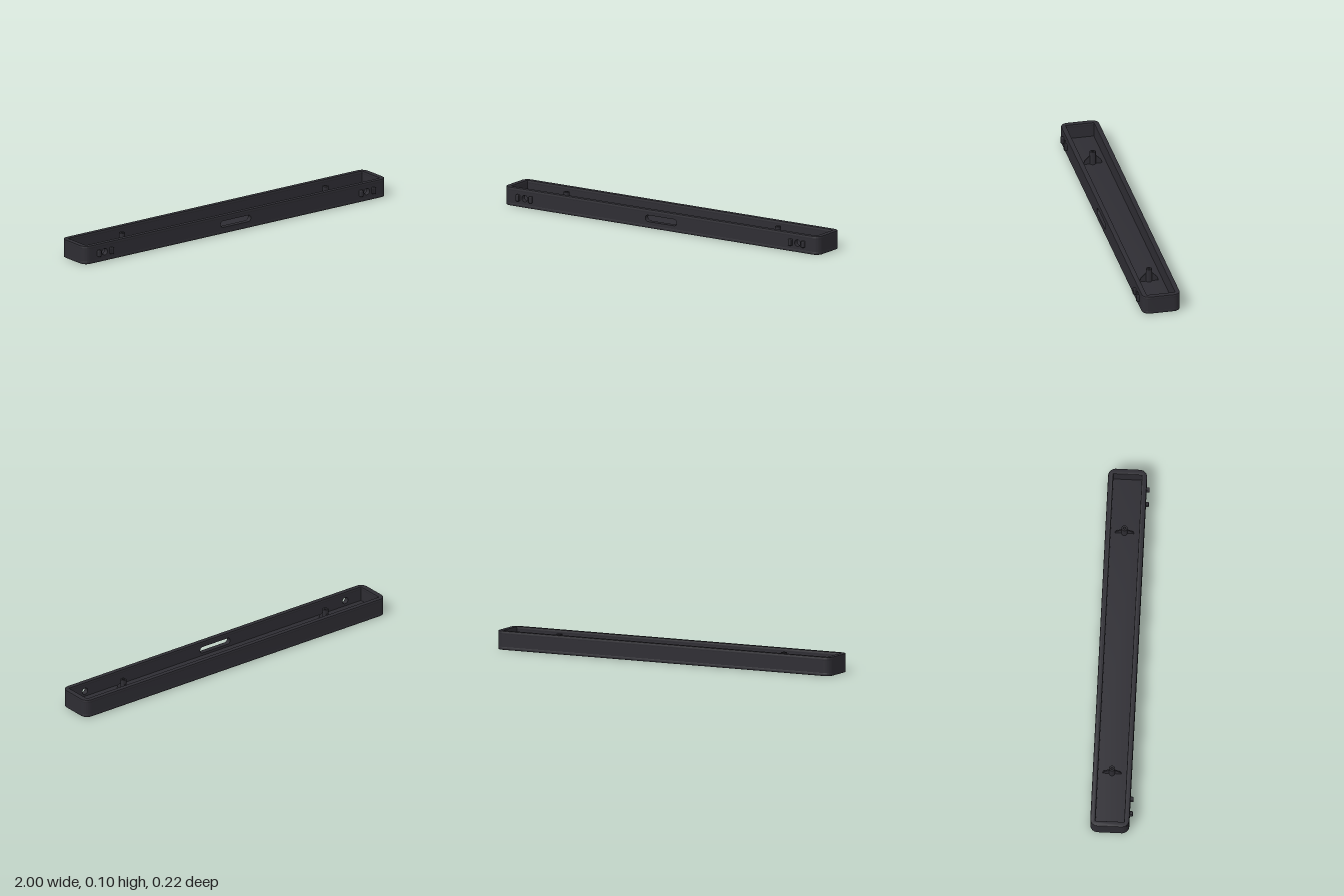
import * as THREE from 'three';
import { toCreasedNormals } from 'three/addons/utils/BufferGeometryUtils.js';
import { RoundedBoxGeometry } from 'three/addons/geometries/RoundedBoxGeometry.js';

const FRONT = 0.095, BACK = -0.11, HEIGHT = 0.1, R = 0.04;      // outer shell
const INX = 0.97, INFRONT = 0.068, INBACK = -0.083;             // inner cavity
const FLOOR = 0.02, BEVEL = 0.004, PANEL = 0.95;

export function createModel() {
  const model = new THREE.Group();
  const plastic = new THREE.MeshStandardMaterial({ color: 0x2e2d33 });

  const add = (name, geometry, x = 0, y = 0, z = 0) => {
    const mesh = new THREE.Mesh(geometry, plastic);
    mesh.name = name;
    mesh.position.set(x, y, z);
    model.add(mesh);
    return mesh;
  };

  const extrude = (shape, depth, bevel = 0) => toCreasedNormals(new THREE.ExtrudeGeometry(shape, {
    depth: depth - 2 * bevel, curveSegments: 10, bevelEnabled: bevel > 0,
    bevelThickness: bevel, bevelSize: bevel, bevelOffset: -bevel, bevelSegments: 2,
  }).translate(0, 0, bevel), 0.6);

  // Plan shapes use (x, -z) and are extruded upwards
  const upright = (shape, depth, bevel) => extrude(shape, depth, bevel).rotateX(-Math.PI / 2);

  // Outer outline from the front right, round the back, to the front left
  const outline = () => {
    const s = new THREE.Shape();
    s.moveTo(PANEL, -FRONT);
    s.lineTo(1 - R, -FRONT);
    s.absarc(1 - R, -FRONT + R, R, -Math.PI / 2, 0);
    s.absarc(1 - R, -BACK - R, R, 0, Math.PI / 2);
    s.absarc(-1 + R, -BACK - R, R, Math.PI / 2, Math.PI);
    s.absarc(-1 + R, -FRONT + R, R, Math.PI, Math.PI * 1.5);
    s.lineTo(-PANEL, -FRONT);
    return s;
  };

  // Floor
  add('floor', upright(outline(), FLOOR, BEVEL));

  // Back and end walls, with a gap for the front panel
  const low = FLOOR - BEVEL, high = 0.084;
  const walls = outline();
  [[-PANEL, INFRONT], [-INX, INFRONT], [-INX, INBACK], [INX, INBACK], [INX, INFRONT], [PANEL, INFRONT]]
    .forEach(([x, z]) => walls.lineTo(x, -z));
  add('sideAndBackWalls', upright(walls, high - low), 0, low);

  // Front panel with a central slot and a round hole near each end
  const panel = new THREE.Shape([[-PANEL, low], [PANEL, low], [PANEL, high], [-PANEL, high]]
    .map(([x, y]) => new THREE.Vector2(x, y)));
  const slot = new THREE.Path(), sr = 0.0175, sy = 0.052;
  slot.absarc(0.1 - sr, sy, sr, -Math.PI / 2, Math.PI / 2);
  slot.absarc(-0.1 + sr, sy, sr, Math.PI / 2, Math.PI * 1.5);
  slot.closePath();
  panel.holes.push(slot);
  for (const side of [-1, 1]) {
    panel.holes.push(new THREE.Path().absarc(side * 0.866, 0.05, 0.018, 0, Math.PI * 2));
  }
  add('frontPanel', extrude(panel, FRONT - INFRONT), 0, 0, INFRONT);

  // Softened rim around the open top
  const rim = outline();
  rim.holes.push(new THREE.Path([[-INX, INFRONT], [-INX, INBACK], [INX, INBACK], [INX, INFRONT]]
    .map(([x, z]) => new THREE.Vector2(x, -z))));
  add('rim', upright(rim, HEIGHT - high + BEVEL, BEVEL), 0, high - BEVEL);

  // Hollow screw post profile
  const postProfile = [[0.016, 0], [0.016, 0.072], [0.015, 0.073], [0.007, 0.073], [0.007, 0.01], [0, 0.01]]
    .map(([r, y]) => new THREE.Vector2(r, y));
  const post = toCreasedNormals(new THREE.LatheGeometry(postProfile, 24), 0.6);

  // Gusset: a tapering rib on either side of the post
  const gusset = new THREE.Shape([[0.014, 0], [0.05, 0], [0.045, 0.02], [0.014, 0.05]]
    .map(([x, y]) => new THREE.Vector2(x, y)));
  const rib = extrude(gusset, 0.006).translate(0, 0, -0.003);

  for (const side of [-1, 1]) {
    const x = side * 0.672, z = -0.01;
    add('screwPost', post, x, FLOOR, z);
    for (const turn of [-1, 1]) add('postRib', rib, x, FLOOR, z).rotation.y = turn * Math.PI / 2;

    // Lugs either side of the round hole
    for (const lx of [0.825, 0.906]) {
      add('frontLug', new RoundedBoxGeometry(0.02, 0.036, 0.024, 2, 0.005), side * lx, 0.05, 0.099);
    }
  }
  return model;
}
